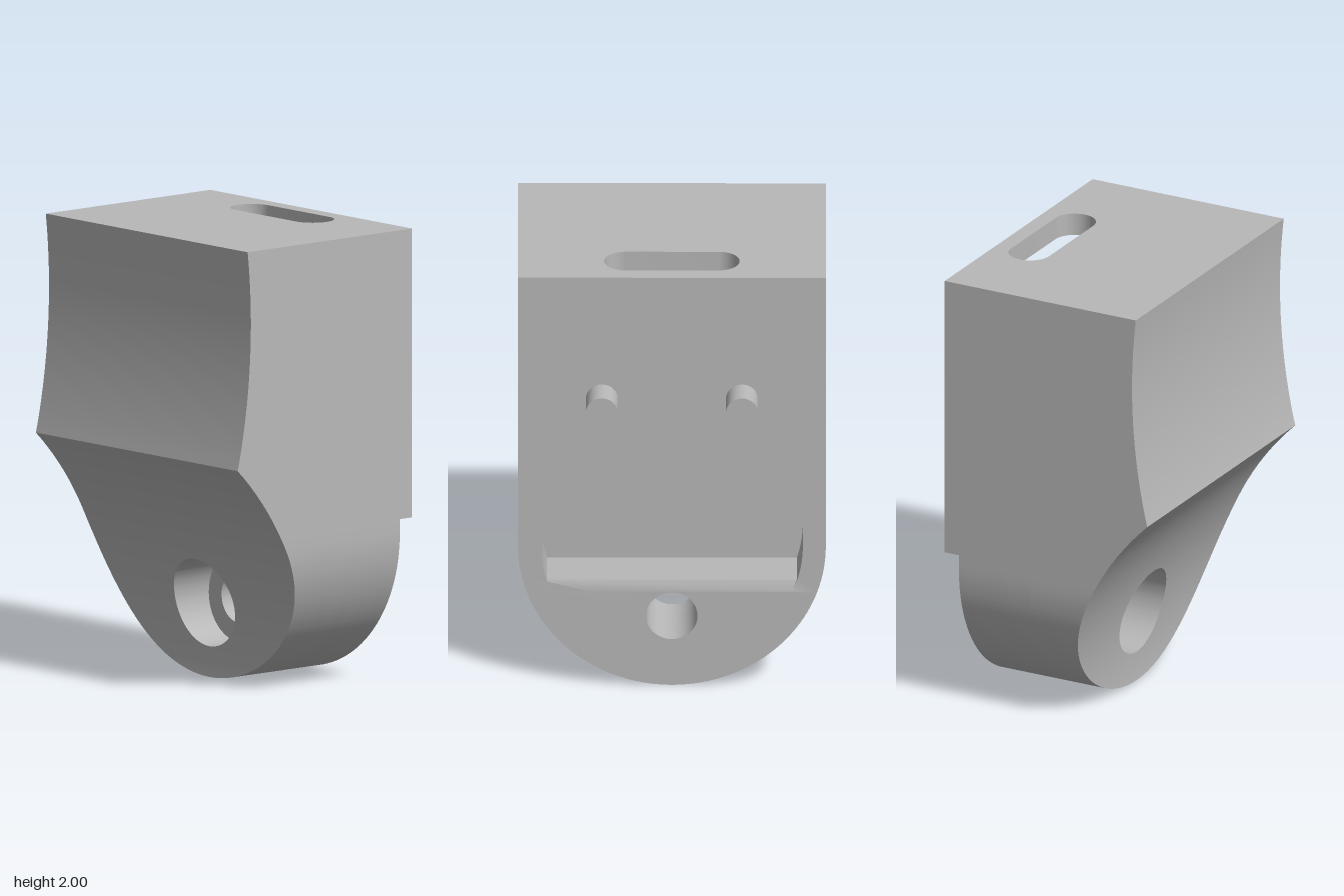
import * as THREE from 'three';
import { toCreasedNormals } from 'three/addons/utils/BufferGeometryUtils.js';

const W = 0.67, TOP = 2;                            // half width (also bottom radius), height
const BACK = -0.43, LIP = -0.5, FLOOR = -0.19, SEAT = -0.08; // z levels
const HOLE_Y = 0.333, BORE_R = 0.197, HOLE_R = 0.112;
const RIDGE = 1.04, CEILING = 1.9, LIP_IN = 0.61, POCKET = 0.57;

// half width of the rounded outline, half width of the bore, and front depth, by height
const halfWidth = y => (y >= W ? W : Math.sqrt(Math.max(0, W * W - (W - y) ** 2)));
const boreHalf = y => Math.sqrt(Math.max(0, BORE_R ** 2 - (y - HOLE_Y) ** 2));
const arc = (z, y, y0, r) => z + r - Math.sqrt(r * r - (y - y0) ** 2);
const front = y => (y <= RIDGE ? arc(0.085, y, 0.05, 1.375) : arc(0.43, y, 1.68, 2.77));

// heights shared by the outline, the bore and the curved front
function makeRows() {
  const ys = [];
  for (let i = 0; i <= 32; i++) ys.push(W - W * Math.cos((i / 32) * Math.PI / 2));
  for (let i = 0; i <= 32; i++) ys.push(HOLE_Y - BORE_R * Math.cos((i / 32) * Math.PI));
  for (let i = 1; i <= 10; i++) ys.push(W + (RIDGE - W) * i / 10);
  for (let i = 1; i <= 20; i++) ys.push(RIDGE + (TOP - RIDGE) * i / 20);
  return ys.sort((a, b) => a - b).filter((y, i, all) => i === 0 || y - all[i - 1] > 1e-6);
}

const vec = (x, y) => new THREE.Vector2(x, y);
const mirrored = pts => pts.map(p => vec(-p.x, p.y)).reverse();

function extrude(points, z0, z1, holes = []) {
  const shape = new THREE.Shape(points);
  shape.holes.push(...holes);
  const geo = new THREE.ExtrudeGeometry(shape, { depth: z1 - z0, bevelEnabled: false, curveSegments: 32 });
  return geo.translate(0, 0, z0);
}

const screwHole = () => new THREE.Path().absarc(0, HOLE_Y, HOLE_R, 0, Math.PI * 2, true);

// curved front with its side walls, bore wall and top
function frontGeometry(rows) {
  const pos = [];
  const quad = (a, b, c, d) => pos.push(...a, ...b, ...c, ...a, ...c, ...d);
  for (let k = 0; k < rows.length - 1; k++) {
    const [y0, y1] = [rows[k], rows[k + 1]];
    const [w0, w1, i0, i1] = [halfWidth(y0), halfWidth(y1), boreHalf(y0), boreHalf(y1)];
    const [f0, f1] = [front(y0), front(y1)];
    for (const s of [1, -1]) {
      const side = (a, b, c, d) => (s > 0 ? quad(a, b, c, d) : quad(d, c, b, a));
      side([s * i0, y0, f0], [s * w0, y0, f0], [s * w1, y1, f1], [s * i1, y1, f1]);
      side([s * w0, y0, f0], [s * w0, y0, SEAT], [s * w1, y1, SEAT], [s * w1, y1, f1]);
      if (i0 + i1 > 1e-4)
        side([s * i0, y0, SEAT], [s * i0, y0, f0], [s * i1, y1, f1], [s * i1, y1, SEAT]);
    }
  }
  const f = front(TOP);
  quad([-W, TOP, f], [W, TOP, f], [W, TOP, SEAT], [-W, TOP, SEAT]);
  const geo = new THREE.BufferGeometry();
  geo.setAttribute('position', new THREE.Float32BufferAttribute(pos, 3));
  return geo;
}

export function createModel() {
  const group = new THREE.Group();
  const grey = new THREE.MeshStandardMaterial({ color: 0xb8b8b8 });
  grey.name = 'grey';
  const add = (name, geo) => {
    const mesh = new THREE.Mesh(toCreasedNormals(geo, 0.5), grey);
    mesh.name = name;
    group.add(mesh);
  };

  const rows = makeRows();
  const edgeTo = top => [...rows.filter(y => y > 1e-6 && y < top - 1e-6), top].map(y => vec(halfWidth(y), y));

  add('curvedFront', frontGeometry(rows));

  // solid plate behind the front: bore seat and pocket floor
  const outer = edgeTo(TOP);
  add('middlePlate', extrude([vec(0, 0), ...outer, ...mirrored(outer)], FLOOR, SEAT, [screwHole()]));

  // walls around the pocket, open at the top
  const pocketBottom = 0.5;
  const lastAngle = Math.asin((W - pocketBottom) / POCKET);
  const inner = [vec(POCKET, CEILING)];
  for (let i = 0; i <= 10; i++) {
    const a = lastAngle * i / 10;
    inner.push(vec(POCKET * Math.cos(a), W - POCKET * Math.sin(a)));
  }
  const wall = edgeTo(CEILING);
  const uShape = [vec(0, 0), ...wall, ...inner, ...mirrored(inner), ...mirrored(wall)];
  const chamferZ = -0.41;
  add('pocketWalls', extrude(uShape, chamferZ, FLOOR, [screwHole()]));

  // rear slice, with the pocket's bottom edge chamfered
  const rear = extrude(uShape, BACK, chamferZ, [screwHole()]);
  const p = rear.attributes.position;
  for (let i = 0; i < p.count; i++) {
    const x = p.getX(i);
    if (Math.abs(p.getY(i) - pocketBottom) < 1e-4 && Math.abs(x) < 0.56 && p.getZ(i) < BACK + 0.005)
      p.setXY(i, Math.sign(x) * 0.527, 0.453);
  }
  add('chamferedRearWalls', rear);

  // top wall with a rounded slot, drawn flat and laid down
  const slot = new THREE.Path();
  const slotR = 0.094, slotX = 0.201, slotZ = 0.333;
  slot.absarc(slotX, slotZ, slotR, Math.PI / 2, -Math.PI / 2, true);
  slot.absarc(-slotX, slotZ, slotR, -Math.PI / 2, Math.PI / 2, true);
  slot.closePath();
  const plate = [vec(-W, -FLOOR), vec(W, -FLOOR), vec(W, -BACK), vec(-W, -BACK)];
  add('topWall', extrude(plate, 0, TOP - CEILING, [slot]).rotateX(-Math.PI / 2).translate(0, CEILING, 0));

  // raised lip around the back opening
  const lipEnd = 0.725, lipTop = 1.937;
  const lipHalf = [vec(W, TOP), vec(W, lipEnd), vec(LIP_IN, lipEnd), vec(LIP_IN, lipTop)];
  add('rearLip', extrude([...lipHalf, ...mirrored(lipHalf)], LIP, BACK));

  // two pins standing on the pocket floor
  for (const s of [1, -1]) {
    const pin = new THREE.CylinderGeometry(0.07, 0.07, 0.14, 40).rotateX(Math.PI / 2);
    add(s > 0 ? 'leftPin' : 'rightPin', pin.translate(s * 0.305, 1.265, -0.26));
  }
  return group;
}
